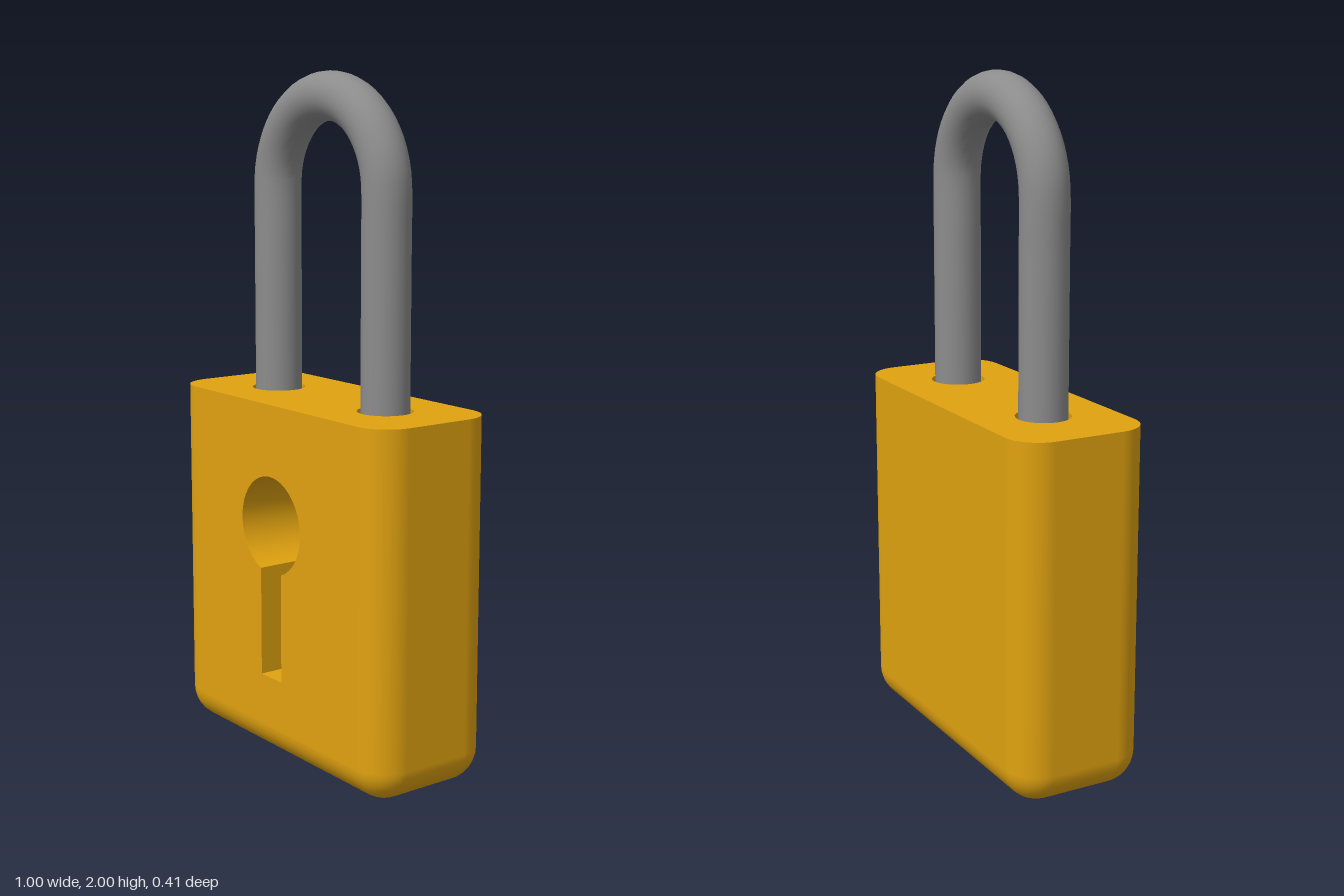
import * as THREE from 'three';
import { toCreasedNormals } from 'three/addons/utils/BufferGeometryUtils.js';

const W = 0.5, D = 0.205, TOP = 1.065, R = 0.1; // body half width, half depth, height, edge radius
const LEGS = [-0.25, 0.265], LEG_R = 0.07, HOLE_R = 0.08, HOLE_DEPTH = 0.3;
const KEY = { x: -0.005, y: 0.71, r: 0.145, half: 0.05, bottom: 0.25, depth: 0.2 };
const N = 8; // segments per rounded corner

function geometry(position, index, normal) {
  const g = new THREE.BufferGeometry();
  g.setAttribute('position', new THREE.Float32BufferAttribute(position, 3));
  if (normal) g.setAttribute('normal', new THREE.Float32BufferAttribute(normal, 3));
  if (index) g.setIndex(index);
  return g;
}

// Rounded-rectangle ring, starting at the left end of the front face and going round the back
function ringDirections() {
  const ring = [];
  [[-1, 1], [-1, -1], [1, -1], [1, 1]].forEach(([sx, sz], k) => {
    for (let j = 0; j <= N; j++) {
      const t = (k + 1 + j / N) * Math.PI / 2;
      ring.push({ cx: sx * (W - R), cz: sz * (D - R), nx: Math.cos(t), nz: Math.sin(t) });
    }
  });
  return ring;
}

// Sides, rounded bottom edge and underside; the flat front panel is left open
function shellGeometry(ring) {
  const pos = [], nor = [], idx = [], n = ring.length;
  const levels = [[TOP, 0]];
  for (let i = 0; i <= N; i++) levels.push([R, i / N * Math.PI / 2]);
  levels.forEach(([y, phi], i) => {
    const c = Math.cos(phi), s = Math.sin(phi);
    ring.forEach(({ cx, cz, nx, nz }, j) => {
      pos.push(cx + R * c * nx, y - R * s, cz + R * c * nz);
      nor.push(c * nx, -s, c * nz);
      if (i === levels.length - 1 || (i === 0 && j === n - 1)) return;
      const a = i * n + j, b = i * n + (j + 1) % n;
      idx.push(a, b, b + n, a, b + n, a + n);
    });
  });
  const [p, q, r, s] = [0, 1, 2, 3].map(k => (levels.length - 1) * n + k * (N + 1));
  idx.push(p, q, r, p, r, s);
  return geometry(pos, idx, nor);
}

// Keyhole outline, counter-clockwise: round hole joined to a straight slot
function keyholePoints() {
  const { x, y, r, half, bottom } = KEY, pts = [];
  const gap = Math.asin(half / r), steps = 32;
  for (let i = 0; i <= steps; i++) {
    const t = -Math.PI / 2 + gap + (i / steps) * (2 * Math.PI - 2 * gap);
    pts.push(new THREE.Vector2(x + r * Math.cos(t), y + r * Math.sin(t)));
  }
  pts.push(new THREE.Vector2(x - half, bottom), new THREE.Vector2(x + half, bottom));
  return pts;
}

// Inward-facing walls of the keyhole
function keyholeWalls(pts) {
  const pos = [], z0 = D, z1 = D - KEY.depth;
  pts.forEach((a, i) => {
    const b = pts[(i + 1) % pts.length];
    pos.push(a.x, a.y, z0, b.x, b.y, z0, b.x, b.y, z1);
    pos.push(a.x, a.y, z0, b.x, b.y, z1, a.x, a.y, z1);
  });
  return toCreasedNormals(geometry(pos), 0.6);
}

export function createModel() {
  const brass = new THREE.MeshStandardMaterial({ color: 0xe0a210 });
  const brassInside = new THREE.MeshStandardMaterial({ color: 0xe0a210, side: THREE.BackSide });
  const steel = new THREE.MeshStandardMaterial({ color: 0x8c8c8c });
  const black = new THREE.MeshStandardMaterial({ color: 0x0a0a0a });

  const model = new THREE.Group();
  model.name = 'padlock';
  const body = new THREE.Group();
  body.name = 'body';
  model.add(body);
  const add = (parent, name, geo, mat) => {
    const mesh = new THREE.Mesh(geo, mat);
    mesh.name = name;
    parent.add(mesh);
    return mesh;
  };

  // Body shell
  const ring = ringDirections();
  add(body, 'bodyShell', shellGeometry(ring), brass);

  // Front panel with the keyhole cut out
  const keyPts = keyholePoints(), e = W - R;
  const front = new THREE.Shape([[-e, R], [e, R], [e, TOP], [-e, TOP]].map(p => new THREE.Vector2(...p)));
  front.holes.push(new THREE.Path(keyPts));
  add(body, 'frontPanel', new THREE.ShapeGeometry(front), brass).position.z = D;
  add(body, 'keyholeWalls', keyholeWalls(keyPts), brass);
  add(body, 'keyholeBack', new THREE.ShapeGeometry(new THREE.Shape(keyPts)), black).position.z = D - KEY.depth;

  // Top face with two shackle sockets
  const top = new THREE.Shape(ring.map(p => new THREE.Vector2(p.cx + R * p.nx, -p.cz - R * p.nz)));
  for (const x of LEGS) top.holes.push(new THREE.Path().absarc(x, 0, HOLE_R, 0, Math.PI * 2, true));
  add(body, 'topFace', new THREE.ShapeGeometry(top, 16).rotateX(-Math.PI / 2), brass).position.y = TOP;
  for (const x of LEGS) {
    const wall = new THREE.CylinderGeometry(HOLE_R, HOLE_R, HOLE_DEPTH, 32, 1, true);
    add(body, 'socketWall', wall, brassInside).position.set(x, TOP - HOLE_DEPTH / 2, 0);
    const floor = new THREE.CircleGeometry(HOLE_R, 32).rotateX(-Math.PI / 2);
    add(body, 'socketFloor', floor, brass).position.set(x, TOP - HOLE_DEPTH, 0);
  }

  // Shackle: two straight legs joined by a half circle
  const mid = (LEGS[0] + LEGS[1]) / 2, bend = (LEGS[1] - LEGS[0]) / 2;
  const bendY = 2 - LEG_R - bend, foot = TOP - HOLE_DEPTH, path = [];
  for (let i = 0; i < 6; i++) path.push(new THREE.Vector3(LEGS[0], foot + (bendY - foot) * i / 6, 0));
  for (let i = 0; i <= 16; i++) {
    const t = Math.PI * (1 - i / 16);
    path.push(new THREE.Vector3(mid + bend * Math.cos(t), bendY + bend * Math.sin(t), 0));
  }
  for (let i = 5; i >= 0; i--) path.push(new THREE.Vector3(LEGS[1], foot + (bendY - foot) * i / 6, 0));
  add(model, 'shackle', new THREE.TubeGeometry(new THREE.CatmullRomCurve3(path), 96, LEG_R, 24), steel);

  return model;
}
